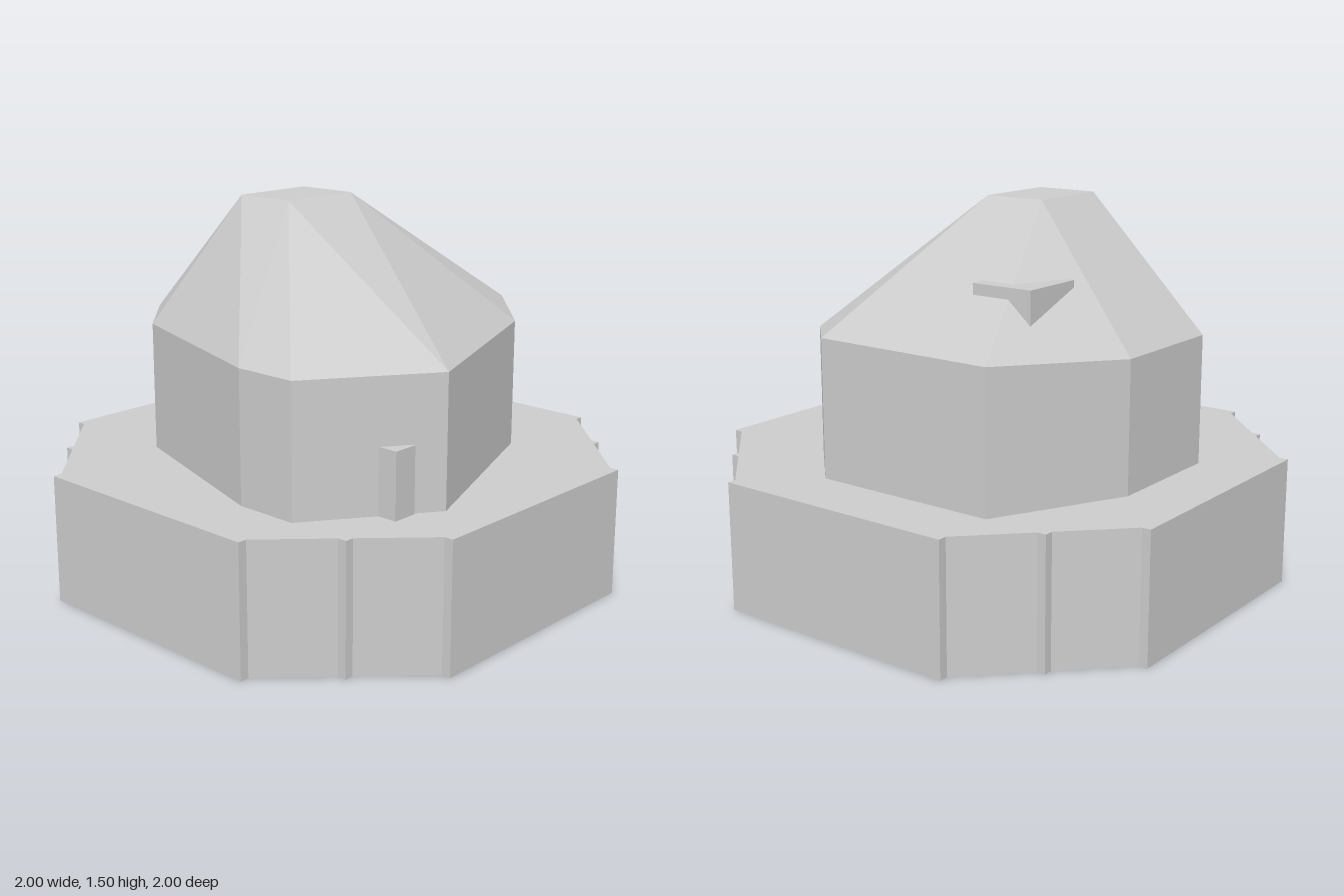
import * as THREE from 'three';

const material = new THREE.MeshStandardMaterial({ color: 0xcccccc, flatShading: true });

function addMesh(group, name, geometry) {
  const mesh = new THREE.Mesh(geometry, material);
  mesh.name = name;
  group.add(mesh);
  return mesh;
}

// Box given by its minimum and maximum corners
function addBox(group, name, min, max) {
  const size = max.map((v, i) => v - min[i]);
  const mesh = addMesh(group, name, new THREE.BoxGeometry(...size));
  mesh.position.set(...max.map((v, i) => (v + min[i]) / 2));
}

// Faces between two closed loops, both running left, front, right, back
function loft(lower, upper) {
  const points = [];
  lower.forEach((b, i) => {
    const j = (i + 1) % lower.length;
    points.push(b, lower[j], upper[i]);
    if (upper[i] !== upper[j]) points.push(lower[j], upper[j], upper[i]);
  });
  const geometry = new THREE.BufferGeometry().setFromPoints(points);
  geometry.computeVertexNormals();
  return geometry;
}

export function createModel() {
  const group = new THREE.Group();
  const v = (x, y, z) => new THREE.Vector3(x, y, z);

  // Octagonal plinth: one notched corner, turned four times
  const corner = [[1, 0.5], [0.965, 0.5], [0.75, 0.715], [0.75, 0.75], [0.715, 0.75], [0.5, 0.965], [0.5, 1]];
  const outline = [];
  for (let k = 0; k < 4; k++) {
    for (const [x, y] of corner) {
      outline.push(new THREE.Vector2(x, y).rotateAround(new THREE.Vector2(), k * Math.PI / 2));
    }
  }
  const plinth = new THREE.ExtrudeGeometry(new THREE.Shape(outline), { depth: 0.5, bevelEnabled: false });
  plinth.rotateX(-Math.PI / 2);
  addMesh(group, 'plinth', plinth);

  // Irregular eaves line, and the roof cap corner each eaves corner rises to
  const eaves = [
    v(-0.75, 1, 0.5), v(-0.3, 1, 0.81), v(0.5, 1, 0.5), v(0.75, 1.03, 0.25), v(0.75, 1.03, -0.5),
    v(0.25, 1, -0.75), v(-0.25, 1, -0.75), v(-0.5, 1, -0.5), v(-0.75, 1, 0.25),
  ];
  const cap = [v(-0.25, 1.5, 0), v(0.09, 1.5, 0), v(0.09, 1.5, -0.25), v(-0.25, 1.5, -0.25)];
  const rise = [0, 1, 1, 1, 2, 2, 3, 3, 0].map((i) => cap[i]);

  addMesh(group, 'walls', loft(eaves.map((p) => v(p.x, 0.5, p.z)), eaves));
  addMesh(group, 'roof', loft(eaves, rise));

  // Flat top of the roof
  const top = new THREE.PlaneGeometry(0.34, 0.25).rotateX(-Math.PI / 2);
  addMesh(group, 'roofCap', top).position.set(-0.08, 1.5, -0.125);

  // Small blocks breaking through the wall and the roof
  addBox(group, 'wallBlock', [-0.5, 0.45, 0.5], [-0.4, 0.75, 0.75]);
  addBox(group, 'roofBlock', [0.24, 1, -0.5], [0.5, 1.25, -0.25]);

  return group;
}
